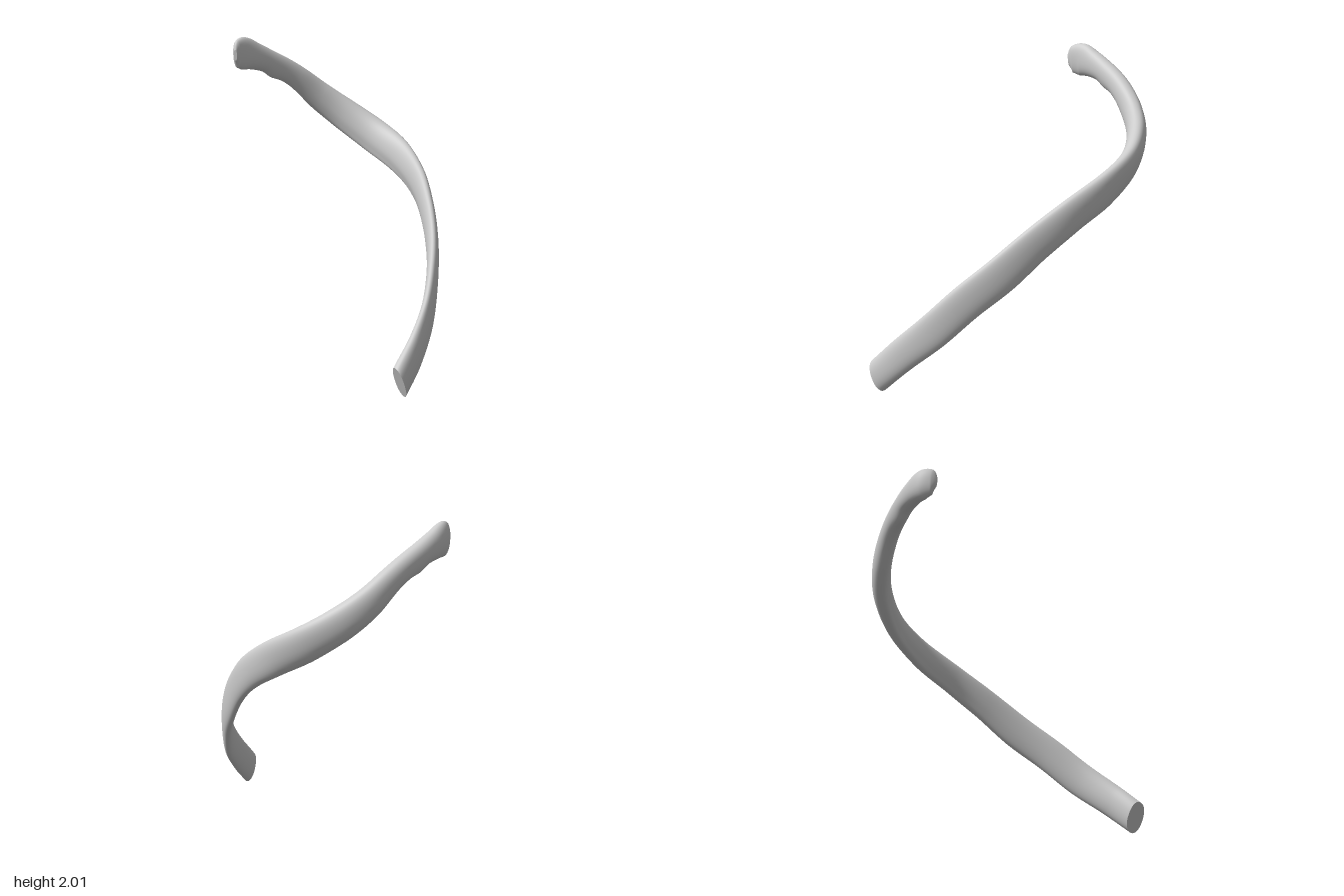
import * as THREE from 'three';

// Stations along the rib: centre x, y, z, then half height and half thickness
const STATIONS = [
  [0.592, 0.09, 0.755, 0.096, 0.05],
  [0.65, 0.235, 0.6, 0.1, 0.043],
  [0.684, 0.402, 0.4, 0.107, 0.036],
  [0.677, 0.585, 0.2, 0.109, 0.036],
  [0.64, 0.747, 0, 0.112, 0.038],
  [0.57, 0.927, -0.2, 0.106, 0.04],
  [0.467, 1.087, -0.4, 0.104, 0.045],
  [0.305, 1.225, -0.59, 0.108, 0.053],
  [0.105, 1.345, -0.705, 0.109, 0.059],
  [-0.1, 1.475, -0.736, 0.104, 0.061],
  [-0.25, 1.587, -0.705, 0.094, 0.06],
  [-0.395, 1.725, -0.622, 0.077, 0.058],
  [-0.525, 1.822, -0.515, 0.073, 0.057],
  [-0.62, 1.873, -0.415, 0.088, 0.055],
  [-0.675, 1.897, -0.335, 0.106, 0.047],
  [-0.698, 1.895, -0.265, 0.087, 0.028],
  [-0.7, 1.892, -0.238, 0.035, 0.011],
];
const RINGS = 180, SIDES = 36;
const UP = new THREE.Vector3(0, 1, 0);
const bump = (x, centre, width) => Math.exp(-(((x - centre) / width) ** 2));

const path = new THREE.CatmullRomCurve3(STATIONS.map(([x, y, z]) => new THREE.Vector3(x, y, z)));
const sizes = new THREE.CatmullRomCurve3(STATIONS.map(([, , , h, t]) => new THREE.Vector3(h, t, 0)));

// One cross-section: a flattened oval, broad in height and thin towards the inside
function ring(u) {
  const centre = path.getPoint(u), tangent = path.getTangent(u), size = sizes.getPoint(u);
  const inward = new THREE.Vector3().crossVectors(UP, tangent).normalize();
  const rise = new THREE.Vector3().crossVectors(tangent, inward).normalize();
  const s = u * (STATIONS.length - 1);
  const points = [];
  for (let j = 0; j < SIDES; j++) {
    const a = (j / SIDES) * Math.PI * 2, c = Math.cos(a), d = Math.sin(a);
    let w = Math.sign(c) * Math.abs(c) ** 0.92 * size.y;
    let v = Math.sign(d) * Math.abs(d) ** 0.92 * size.x;
    // Tubercle on the lower edge
    if (d < 0) v *= 1 + 0.25 * bump(s, 11.9, 0.35) * -d;
    // Shallow groove low on the inner face
    w *= 1 - 0.15 * bump(a, Math.PI * 1.78, 0.35) * bump(s, 7, 2.5);
    // The lower edge turns inwards around the back bend
    w -= 0.2 * v * bump(s, 7.8, 1.3);
    // The front cut is slanted, its outer rim reaching furthest forward
    const slant = (0.3 * v + 0.5 * w) * Math.max(0, 1 - s / 1.2);
    points.push(centre.clone().addScaledVector(inward, w).addScaledVector(rise, v).addScaledVector(tangent, slant));
  }
  return points;
}

function makeMesh(name, points, index) {
  const geometry = new THREE.BufferGeometry().setFromPoints(points);
  geometry.setIndex(index);
  geometry.computeVertexNormals();
  const mesh = new THREE.Mesh(geometry, new THREE.MeshStandardMaterial({ color: 0xcccccc }));
  mesh.name = name;
  return mesh;
}

// End face: a fan around the middle of a ring
function makeCap(name, points, flip) {
  const middle = points.reduce((sum, p) => sum.add(p), new THREE.Vector3()).divideScalar(SIDES);
  const index = [];
  for (let j = 0; j < SIDES; j++) {
    const k = (j + 1) % SIDES;
    index.push(SIDES, ...(flip ? [k, j] : [j, k]));
  }
  return makeMesh(name, [...points, middle], index);
}

export function createModel() {
  const group = new THREE.Group();
  group.name = 'rib';
  const points = [], index = [];
  for (let i = 0; i <= RINGS; i++) {
    points.push(...ring(i / RINGS));
    if (i === RINGS) break;
    for (let j = 0; j < SIDES; j++) {
      const k = (j + 1) % SIDES;
      const a = i * SIDES + j, b = i * SIDES + k;
      index.push(a, b, a + SIDES, b, b + SIDES, a + SIDES);
    }
  }
  group.add(makeMesh('ribShaft', points, index));
  group.add(makeCap('frontEnd', ring(0), true));
  group.add(makeCap('headTip', ring(1), false));
  return group;
}
